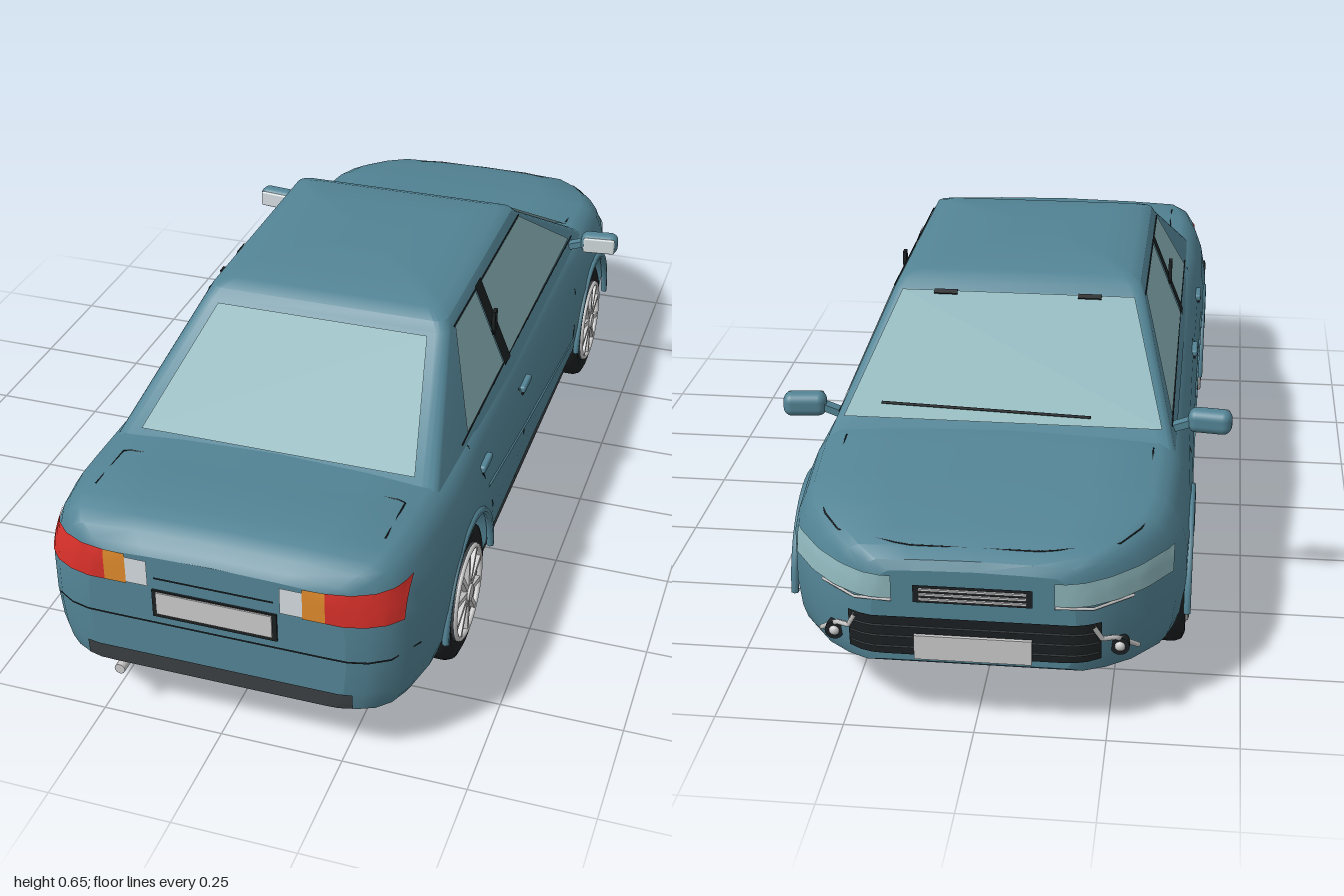
import * as THREE from 'three';
import { toCreasedNormals } from 'three/addons/utils/BufferGeometryUtils.js';
import { RoundedBoxGeometry } from 'three/addons/geometries/RoundedBoxGeometry.js';

const mat = (color) => new THREE.MeshStandardMaterial({ color, side: THREE.DoubleSide });
const paint = mat(0x538495), glass = mat(0x8db5ba), black = mat(0x1c2022), dark = mat(0x3a3f42);
const grey = mat(0xcccccc), red = mat(0xd8302a), amber = mat(0xe08a2c), white = mat(0xd5dde0);

// Body stations: z, half width, deck height, sill height
const STATIONS = [
  [-0.99, 0.19, 0.335, 0.145], [-0.98, 0.22, 0.352, 0.137], [-0.95, 0.265, 0.365, 0.13], [-0.9, 0.315, 0.376, 0.12],
  [-0.82, 0.368, 0.39, 0.108], [-0.75, 0.386, 0.4, 0.1], [-0.59, 0.395, 0.418, 0.1], [-0.4, 0.388, 0.425, 0.1],
  [0, 0.385, 0.43, 0.1], [0.4, 0.387, 0.435, 0.1], [0.6, 0.395, 0.438, 0.1], [0.75, 0.392, 0.445, 0.1],
  [0.82, 0.388, 0.45, 0.105], [0.9, 0.375, 0.45, 0.115], [0.94, 0.36, 0.444, 0.12], [0.97, 0.335, 0.432, 0.125],
  [0.99, 0.3, 0.414, 0.13], [1, 0.26, 0.4, 0.135]];
// Side contour: height fraction, width fraction
const CONTOUR = [[0, 0.92], [0.06, 0.955], [0.15, 0.98], [0.35, 1], [0.6, 1], [0.75, 0.975], [0.87, 0.935],
  [0.95, 0.89], [0.99, 0.82], [1.005, 0.5], [1.015, 0]];
const AXLES = [-0.59, 0.6], ARCH = 0.172, HUB = 0.145;

function lookup(table, t, from = 0, to = 1) {
  let i = 1;
  while (i < table.length - 1 && (table[i][from] - t) * (table[1][from] - table[0][from]) < 0) i++;
  const a = table[i - 1], b = table[i];
  const k = THREE.MathUtils.clamp((t - a[from]) / (b[from] - a[from]), 0, 1);
  return a[to] + (b[to] - a[to]) * k;
}
const station = (z) => [1, 2, 3].map((c) => lookup(STATIONS, z, 0, c));

// Points on the body skin
function sideX(z, y) {
  const [w, top, low] = station(z);
  return w * lookup(CONTOUR, (y - low) / (top - low));
}
function deckY(x, z) {
  const [w, top, low] = station(z);
  return low + (top - low) * lookup(CONTOUR.slice(4), Math.abs(x) / w, 1, 0);
}
function endZ(x, y, end) {
  let inner = end * 0.65, outer = end > 0 ? 1 : -0.99;
  if (sideX(outer, y) >= Math.abs(x)) return outer;
  for (let i = 0; i < 24; i++) {
    const m = (inner + outer) / 2;
    if (sideX(m, y) >= Math.abs(x)) inner = m; else outer = m;
  }
  return inner;
}

// Joins closed rings of points into a capped skin
function loft(rings, crease) {
  const n = rings[0].length, pos = rings.flat(2), idx = [];
  for (let i = 0; i < rings.length - 1; i++) for (let j = 0; j < n; j++) {
    const a = i * n + j, b = i * n + (j + 1) % n;
    idx.push(a, a + n, b, b, a + n, b + n);
  }
  [0, rings.length - 1].forEach((r) => {
    const c = pos.length / 3, sum = [0, 0, 0];
    rings[r].forEach((p) => p.forEach((v, k) => { sum[k] += v / n; }));
    pos.push(...sum);
    for (let j = 0; j < n; j++) {
      const a = r * n + j, b = r * n + (j + 1) % n;
      idx.push(...(r ? [c, a, b] : [c, b, a]));
    }
  });
  const g = new THREE.BufferGeometry();
  g.setAttribute('position', new THREE.Float32BufferAttribute(pos, 3));
  g.setIndex(idx);
  return toCreasedNormals(g, crease);
}

// Body section at z, with wheel wells cut upward over the axles
function bodyRing(z) {
  const [w, top, low] = station(z);
  const d = Math.min(...AXLES.map((c) => Math.abs(z - c)));
  const edge = d <= ARCH + 1e-6 ? HUB + Math.sqrt(Math.max(0, ARCH * ARCH - d * d)) : low;
  const half = [...CONTOUR].reverse().map(([v]) => {
    const y = Math.max(low + v * (top - low), edge);
    return [w * lookup(CONTOUR, (y - low) / (top - low)), y, z];
  });
  const inner = Math.min(0.25, w * 0.85);
  half.push([inner, edge, z], [inner, low, z], [0, low, z]);
  return [...half, ...half.slice(1, -1).reverse().map(([x, y]) => [-x, y, z])];
}

// Cabin outline with rounded corners
function cabinRing([w, front, rear, y, r]) {
  const pts = [];
  [[w, rear, 0], [-w, rear, 1], [-w, front, 2], [w, front, 3]].forEach(([x, z, q]) => {
    for (let k = 0; k <= 4; k++) {
      const a = (q + k / 4) * Math.PI / 2;
      pts.push([x - Math.sign(x) * r + r * Math.cos(a), y, z + (q < 2 ? -r : r) + r * Math.sin(a)]);
    }
  });
  return pts;
}

export function createModel() {
  const car = new THREE.Group();
  const add = (name, geo, m, x = 0, y = 0, z = 0, parent = car) => {
    const mesh = new THREE.Mesh(geo, m);
    mesh.name = name;
    mesh.position.set(x, y, z);
    parent.add(mesh);
    return mesh;
  };
  const box = (name, w, h, d, m, x, y, z) => add(name, new THREE.BoxGeometry(w, h, d), m, x, y, z);
  // Flat shape placed on a surface by a rule
  const panel = (name, pts, rule, m) => {
    const g = new THREE.ShapeGeometry(new THREE.Shape(pts.map((p) => new THREE.Vector2(...p))));
    const p = g.attributes.position;
    for (let i = 0; i < p.count; i++) p.setXYZ(i, ...rule(p.getX(i), p.getY(i)));
    g.computeVertexNormals();
    return add(name, g, m);
  };
  // Patch wrapped round the nose (end -1) or tail (end 1)
  const wrap = (name, x0, x1, y0, y1, end, m, lift = 0.004) => {
    const g = new THREE.PlaneGeometry(1, 1, 20, 4), p = g.attributes.position;
    for (let i = 0; i < p.count; i++) {
      const x = x0 + (x1 - x0) * (p.getX(i) + 0.5), y = y0 + (y1 - y0) * (p.getY(i) + 0.5);
      p.setXYZ(i, x * (1 + lift * 2), y, endZ(x, y, end) + end * lift);
    }
    g.computeVertexNormals();
    return add(name, g, m);
  };
  const seam = (name, pts, rule, m = black, r = 0.0015) => {
    const path = new THREE.CurvePath();
    const v = pts.map((p) => new THREE.Vector3(...rule(...p)));
    v.slice(1).forEach((b, i) => path.add(new THREE.LineCurve3(v[i], b)));
    add(name, new THREE.TubeGeometry(path, 40, r, 5), m);
  };

  // Body shell
  const zs = STATIONS.map((s) => s[0]);
  AXLES.forEach((c) => {
    zs.push(c - ARCH - 0.001, c + ARCH + 0.001);
    for (let k = 0; k <= 20; k++) zs.push(c - ARCH * Math.cos(Math.PI * k / 20));
  });
  zs.sort((a, b) => a - b);
  add('body', loft(zs.filter((z, i) => !i || z - zs[i - 1] > 1e-4).map(bodyRing), 0.6), paint);

  // Cabin and roof: half width, front z, rear z, height, corner radius
  add('cabin', loft([[0.353, -0.595, 0.747, 0.4, 0.03], [0.27, -0.24, 0.37, 0.605, 0.025], [0.26, -0.222, 0.355, 0.624, 0.025],
    [0.235, -0.19, 0.32, 0.636, 0.025], [0.17, -0.1, 0.24, 0.645, 0.025], [0.06, 0.01, 0.14, 0.65, 0.02]].map(cabinRing), 0.6), paint);
  const rise = (y) => (y - 0.4) / 0.205;
  const screen = (x, y) => [x, y + 0.003, -0.595 + 0.355 * rise(y) - 0.003];
  panel('windscreen', [[-0.325, 0.432], [0.325, 0.432], [0.25, 0.603], [-0.25, 0.603]], screen, glass);
  panel('rearWindow', [[-0.29, 0.447], [0.29, 0.447], [0.23, 0.6], [-0.23, 0.6]],
    (x, y) => [x, y + 0.003, 0.747 - 0.377 * rise(y) + 0.003], glass);
  seam('wiper', [[-0.18, 0.442], [0.25, 0.45]], (x, y) => [x, y + 0.008, screen(x, y)[2] - 0.006], black, 0.003);
  [-1, 1].forEach((s) => {
    const m = box('screenClip', 0.05, 0.008, 0.012, black, s * 0.155, 0.603, -0.25);
    m.rotation.x = -0.5;
  });

  // Both flanks
  [-1, 1].forEach((s) => {
    const cabinSide = (lift) => (z, y) => [s * (0.353 - 0.083 * rise(y) + lift), y, z];
    const flank = (z, y) => [s * (sideX(z, y) + 0.0005), y, z];
    panel('rearSideWindow', [[0.46, 0.437], [0.165, 0.437], [0.165, 0.603], [0.325, 0.603]], cabinSide(0.003), glass);
    panel('frontSideWindow', [[0.12, 0.435], [-0.47, 0.433], [-0.215, 0.603], [0.12, 0.603]], cabinSide(0.003), glass);
    panel('doorPillar', [[0.12, 0.43], [0.165, 0.43], [0.165, 0.613], [0.12, 0.613]], cabinSide(0.005), black);
    box('beltMount', 0.008, 0.055, 0.02, black, s * 0.314, 0.527, 0.15);
    seam('windowLine', [[0.5, 0.432], [0.12, 0.432], [-0.5, 0.425]], cabinSide(0.001));
    seam('roofLine', [[0.33, 0.604], [-0.22, 0.604]], cabinSide(0.002));
    seam('centreDoorSeam', [[0.14, 0.43], [0.14, 0.36], [0.13, 0.25], [0.13, 0.12]], flank);
    seam('frontDoorSeam', [[-0.4, 0.415], [-0.4, 0.33], [-0.38, 0.22], [-0.38, 0.12]], flank);
    seam('rearDoorSeam', [[0.48, 0.42], [0.47, 0.35], [0.41, 0.24], [0.4, 0.12]], flank);
    seam('flankCrease', [[0.45, 0.31], [0.1, 0.255], [-0.39, 0.2]], flank, paint, 0.003);
    [[0.445, 0.363], [0.1, 0.353]].forEach(([z, y]) => {
      add('doorHandle', new RoundedBoxGeometry(0.014, 0.016, 0.062, 2, 0.005), paint, s * (sideX(z, y) + 0.004), y, z);
      box('handleGap', 0.006, 0.005, 0.062, black, s * (sideX(z, y) + 0.004), y - 0.009, z);
    });
    box('sill', 0.02, 0.03, 0.82, dark, s * 0.355, 0.107, 0.005);
    AXLES.forEach((c) => {
      const lip = add('archLip', new THREE.TorusGeometry(ARCH, 0.008, 6, 32, Math.PI), paint, s * 0.39, HUB, c);
      lip.rotation.y = Math.PI / 2;
    });

    // Door mirror
    const mirror = new THREE.Group();
    mirror.name = 'doorMirror';
    mirror.position.set(s * 0.42, 0.43, -0.477);
    mirror.rotation.y = s * 0.12;
    car.add(mirror);
    add('mirrorShell', new RoundedBoxGeometry(0.09, 0.05, 0.044, 4, 0.018), paint, 0, 0, 0, mirror);
    add('mirrorGlass', new RoundedBoxGeometry(0.076, 0.038, 0.008, 2, 0.004), white, 0, 0, 0.02, mirror);
    const arm = box('mirrorArm', 0.07, 0.015, 0.024, paint, s * 0.36, 0.418, -0.475);
    arm.rotation.z = s * 0.35;

    // Lamps
    wrap('tailLamp', s * 0.22, s * 0.355, 0.332, 0.4, 1, red);
    wrap('rearIndicator', s * 0.176, s * 0.22, 0.332, 0.4, 1, amber);
    wrap('reversingLamp', s * 0.132, s * 0.176, 0.335, 0.393, 1, white);
    wrap('headLamp', s * 0.15, s * 0.36, 0.278, 0.325, -1, glass);
    const fog = add('fogLamp', new THREE.CylinderGeometry(0.018, 0.018, 0.02, 20), black, s * 0.27, 0.178, endZ(0.27, 0.178, -1) - 0.003);
    fog.rotation.x = Math.PI / 2;
    add('fogLens', new THREE.SphereGeometry(0.011, 12, 8), grey, s * 0.27, 0.178, endZ(0.27, 0.178, -1) - 0.009);
    seam('chromeArm', [[0.22, 0.235], [0.235, 0.205], [0.26, 0.2], [0.3, 0.16]].map(([x, y]) => [s * x, y]),
      (x, y) => [x * 1.01, y, endZ(x, y, -1) - 0.005], grey, 0.005);
    seam('lampTrim', [[0.15, 0.275], [0.22, 0.272], [0.29, 0.275]].map(([x, y]) => [s * x, y]),
      (x, y) => [x * 1.01, y, endZ(x, y, -1) - 0.004], grey, 0.003);
  });

  // Nose
  wrap('upperGrille', -0.11, 0.11, 0.272, 0.308, -1, black);
  wrap('lowerGrille', -0.235, 0.235, 0.16, 0.24, -1, black);
  for (let i = 0; i < 3; i++) {
    box('grilleBar', 0.2, 0.004, 0.006, grey, 0, 0.28 + i * 0.01, -0.995);
    wrap('lowerGrilleBar', -0.23, 0.23, 0.175 + i * 0.022, 0.18 + i * 0.022, -1, dark, 0.007);
  }
  box('frontPlate', 0.22, 0.05, 0.01, grey, 0, 0.18, -0.996);

  // Tail
  box('rearPlateFrame', 0.252, 0.062, 0.008, black, 0, 0.297, 1);
  box('rearPlate', 0.234, 0.05, 0.008, grey, 0, 0.3, 1.003);
  wrap('bootHandle', -0.12, 0.12, 0.354, 0.358, 1, black, 0.003);
  wrap('rearBumperSeam', -0.375, 0.375, 0.248, 0.252, 1, black, 0.003);
  wrap('rearDiffuser', -0.27, 0.27, 0.135, 0.17, 1, dark);
  const pipe = add('exhaust', new THREE.CylinderGeometry(0.011, 0.011, 0.21, 16), grey, -0.215, 0.1, 0.885);
  pipe.rotation.x = Math.PI / 2;

  // Bonnet, boot and fuel flap outlines
  const deck = (x, z) => [x, deckY(x, z) + 0.0005, z];
  const bonnet = [[0.31, -0.59], [0.31, -0.84], [0.265, -0.905], [0.13, -0.95]];
  seam('bonnetSeam', [...bonnet, ...bonnet.map(([x, z]) => [-x, z]).reverse()], deck);
  seam('bootSeam', [[0.295, 0.87], [0.295, 0.735], [-0.295, 0.735], [-0.295, 0.87]], deck);
  const flap = add('fuelFlap', new THREE.TorusGeometry(0.025, 0.0018, 5, 28), black, -sideX(0.79, 0.305), 0.305, 0.79);
  flap.rotation.y = Math.PI / 2 + 0.05;

  // Wheels
  const tyre = new THREE.LatheGeometry([[0.1, -0.03], [0.125, -0.036], [0.139, -0.03], [HUB, -0.016], [HUB, 0.016],
    [0.139, 0.03], [0.125, 0.036], [0.1, 0.03]].map((p) => new THREE.Vector2(...p)), 40);
  const rim = new THREE.LatheGeometry([[0.09, -0.03], [0.102, -0.032], [0.104, 0.036], [0.097, 0.04], [0.092, 0.03],
    [0.088, 0.008], [0, 0.008]].map((p) => new THREE.Vector2(...p)), 40);
  AXLES.forEach((z) => [-1, 1].forEach((s) => {
    const wheel = new THREE.Group();
    wheel.name = 'wheel';
    wheel.position.set(s * 0.35, HUB, z);
    wheel.rotation.z = -s * Math.PI / 2;
    car.add(wheel);
    add('tyre', tyre, black, 0, 0, 0, wheel);
    add('rim', rim, dark, 0, 0, 0, wheel);
    add('rimEdge', new THREE.TorusGeometry(0.097, 0.006, 8, 40), grey, 0, 0.037, 0, wheel).rotation.x = Math.PI / 2;
    add('hub', new THREE.CylinderGeometry(0.018, 0.022, 0.04, 20), grey, 0, 0.026, 0, wheel);
    for (let k = 0; k < 10; k++) {
      const a = k * Math.PI / 5;
      const spoke = add('spoke', new THREE.BoxGeometry(0.084, 0.012, 0.011), grey, 0.055 * Math.cos(a), 0.035, -0.055 * Math.sin(a), wheel);
      spoke.rotation.y = a;
    }
  }));
  return car;
}
